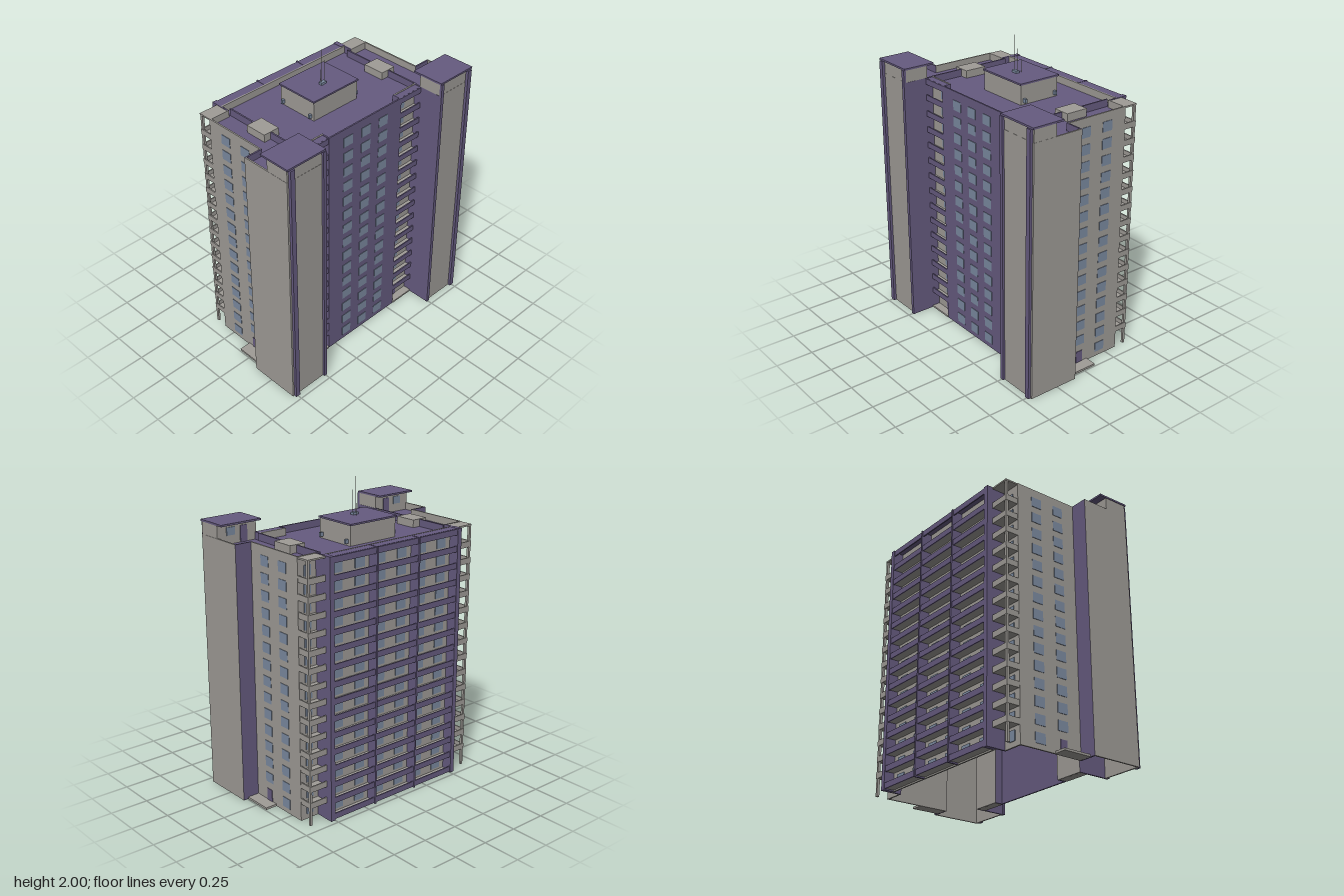
import * as THREE from 'three';

export function createModel() {
  const model = new THREE.Group();
  model.name = 'apartmentTower';
  const mat = (name, color) => {
    const m = new THREE.MeshStandardMaterial({ color });
    m.name = name;
    return m;
  };
  const purple = mat('purplePaint', 0x665b80);
  const beige = mat('beigeConcrete', 0x9f9c97);
  const glass = mat('blueGlass', 0x7b8aa0);

  const add = (name, geometry, material) => {
    const mesh = new THREE.Mesh(geometry, material);
    mesh.name = name;
    model.add(mesh);
    return mesh;
  };
  // Box given by its limits on each axis
  const box = (name, m, x0, x1, y0, y1, z0, z1) => add(name,
    new THREE.BoxGeometry(x1 - x0, y1 - y0, z1 - z0)
      .translate((x0 + x1) / 2, (y0 + y1) / 2, (z0 + z1) / 2), m);
  // Same box on both sides of the building
  const pair = (name, m, x0, x1, ...rest) => {
    box(name, m, x0, x1, ...rest);
    box(name, m, -x1, -x0, ...rest);
  };
  // Flat plan polygon raised from y0 to y1
  const prism = (name, m, points, y0, y1) => {
    const shape = new THREE.Shape(points.map(([x, z]) => new THREE.Vector2(x, -z)));
    add(name, new THREE.ExtrudeGeometry(shape, { depth: y1 - y0, bevelEnabled: false })
      .rotateX(-Math.PI / 2).translate(0, y0, 0), m);
  };

  const TOP = 1.672, ROOF = 1.625, FLOORS = 15, PITCH = 0.1083;
  const windowY = k => 0.066 + PITCH * k;     // window centre of floor k
  const bandY = k => 0.115 + PITCH * (k - 1); // foot of the balcony band of floor k
  const BAND = 0.038;

  // Outer walls: half of the plan, each point with the colour of the wall that follows it
  const half = [
    [0.53, -0.4, purple], [0.53, -0.34, beige], [0.663, -0.34, beige], [0.663, 0.103, purple],
    [0.777, 0.103, beige], [0.777, 0.452, beige], [0.49, 0.452, purple], [0.49, 0.25, beige],
    [0.31, 0.25, purple], [0.31, 0.303, purple],
  ];
  const n = half.length;
  const outline = [...half];
  for (let i = n - 1; i >= 0; i--) {
    outline.push([-half[i][0], half[i][1], i > 0 ? half[i - 1][2] : beige]);
  }
  const count = outline.length, thick = 0.01;
  const at = i => outline[(i + count) % count];
  const inward = (a, b) => {
    const dx = b[0] - a[0], dz = b[1] - a[1], l = Math.hypot(dx, dz);
    return [-dz / l * thick, dx / l * thick];
  };
  const inner = outline.map((p, i) => {
    const a = inward(at(i - 1), p), b = inward(p, at(i + 1));
    return [p[0] + a[0] + b[0], p[1] + a[1] + b[1]];
  });
  for (let i = 0; i < count; i++) {
    prism('outerWall', at(i)[2], [at(i), at(i + 1), inner[(i + 1) % count], inner[i]], 0, TOP);
  }
  prism('roof', purple, inner, ROOF - 0.01, ROOF);
  pair('roofDivider', purple, 0.495, 0.505, ROOF, TOP, -0.34, 0.25);
  pair('roofVent', beige, 0.44, 0.553, ROOF, TOP + 0.003, -0.13, 0.02);

  // Front towers: raised lift rooms, caps and full-height fins
  pair('liftRoom', beige, 0.491, 0.776, ROOF, 1.752, 0.29, 0.451);
  pair('liftRoomCap', purple, 0.487, 0.78, 1.752, 1.764, 0.24, 0.46);
  pair('liftRoomDoor', purple, 0.56, 0.61, ROOF, 1.73, 0.284, 0.291);
  pair('liftRoomWindow', glass, 0.65, 0.71, 1.68, 1.73, 0.284, 0.291);
  pair('outerFin', purple, 0.732, 0.765, 0, 1.752, 0.45, 0.47);
  pair('innerFin', purple, 0.488, 0.512, 0, 1.752, 0.45, 0.466);

  // Windows of the front, sides and loggias
  for (let k = 0; k < FLOORS; k++) {
    const y0 = windowY(k) - 0.033, y1 = windowY(k) + 0.032;
    for (const x of [-0.15, 0, 0.15]) {
      box('frontWindow', glass, x - 0.038, x + 0.038, y0, y1, 0.3, 0.306);
    }
    for (const z of [-0.027, -0.197]) {
      if (k === 0 && z > -0.1) continue;
      pair('sideWindow', glass, 0.66, 0.666, y0, y1, z - 0.037, z + 0.037);
    }
    if (k > 0) pair('recessWindow', glass, 0.34, 0.395, y0, y1 - 0.006, 0.247, 0.254);
    for (const x of [-0.335, 0, 0.335]) {
      for (const d of [-0.085, 0.085]) {
        box('loggiaWindow', glass, x + d - 0.037, x + d + 0.037, y0, y1, -0.405, -0.398);
      }
    }
    pair('cornerWindow', glass, 0.57, 0.62, y0, y1, -0.345, -0.338);
  }

  // Ground floor doors and steps
  pair('sideDoor', purple, 0.66, 0.667, 0, 0.093, -0.05, 0);
  pair('sideStep', beige, 0.66, 0.743, 0, 0.014, -0.09, 0.102);
  pair('recessDoor', purple, 0.34, 0.39, 0, 0.09, 0.247, 0.255);
  pair('recessStep', beige, 0.312, 0.489, 0, 0.012, 0.251, 0.306);

  // Balcony bands and slabs
  for (let k = 0; k <= FLOORS; k++) {
    const y0 = bandY(k), y1 = Math.min(y0 + BAND, TOP);
    const last = k === FLOORS;
    box('loggiaBand', purple, -0.5, 0.5, y0, y1, -0.466, -0.458);
    box('loggiaSlab', last ? purple : beige, -0.5, 0.5,
      last ? TOP - 0.012 : y0 + 0.002, last ? TOP - 0.001 : y0 + 0.01, -0.459, -0.401);
    if (k === 0) continue;
    pair('recessBand', purple, 0.311, 0.489, y0, y1, 0.294, 0.302);
    pair('recessSlab', last ? purple : beige, 0.311, 0.489,
      last ? TOP - 0.012 : y0 + 0.002, last ? TOP - 0.002 : y0 + 0.01, 0.251, 0.295);
    if (last) {
      pair('cornerRoof', beige, 0.531, 0.662, TOP - 0.012, TOP - 0.002, -0.43, -0.341);
      continue;
    }
    pair('cornerSideBand', beige, 0.654, 0.662, y0, y1, -0.43, -0.341);
    pair('cornerBackBand', beige, 0.531, 0.655, y0, y1, -0.43, -0.422);
    pair('cornerSlab', beige, 0.531, 0.655, y0 + 0.002, y0 + 0.01, -0.423, -0.341);
  }
  pair('cornerPost', beige, 0.645, 0.66, 0, TOP - 0.012, -0.428, -0.411);

  // Vertical fins of the loggias
  pair('loggiaEndFin', purple, 0.499, 0.531, 0, TOP + 0.001, -0.47, -0.399);
  pair('loggiaFin', purple, 0.163, 0.175, 0, TOP + 0.001, -0.472, -0.4);

  // Roof room with cap, small lamps and aerials
  box('roofRoom', beige, -0.194, 0.171, ROOF, 1.752, -0.225, 0.06);
  box('roofRoomCap', purple, -0.199, 0.177, 1.752, 1.763, -0.235, 0.066);
  for (const z of [-0.2, 0.035]) {
    box('roofLamp', glass, -0.212, -0.194, 1.64, 1.665, z - 0.008, z + 0.008);
    box('roofLamp', glass, 0.171, 0.194, 1.64, 1.665, z - 0.008, z + 0.008);
  }
  box('aerialBase', glass, -0.035, 0.005, 1.763, 1.778, -0.06, -0.035);
  for (const [x, z, top] of [[-0.025, -0.048, 2], [0, -0.048, 1.92], [0, -0.08, 1.84]]) {
    add('aerial', new THREE.CylinderGeometry(0.0015, 0.0015, top - 1.76, 6)
      .translate(x, (top + 1.76) / 2, z), beige);
  }
  return model;
}
